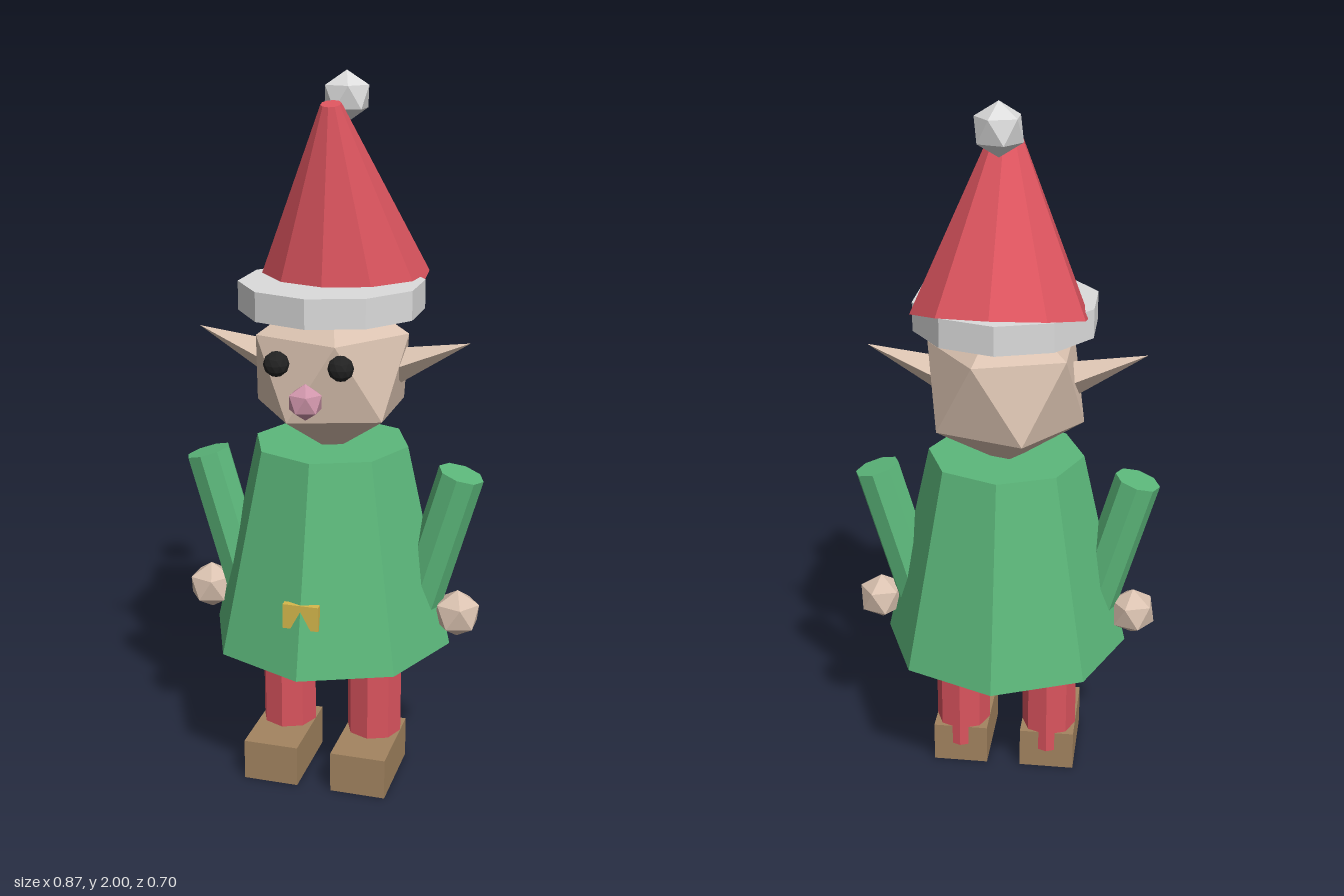
import * as THREE from 'three';

const mat = (name, color) => {
  const m = new THREE.MeshStandardMaterial({ color });
  m.name = name;
  return m;
};

// Faceted copy, so every face has its own flat normal
function faceted(geometry) {
  const g = geometry.index ? geometry.toNonIndexed() : geometry;
  g.computeVertexNormals();
  return g;
}

// Icosahedron standing on one of its corners, with an upper-ring corner towards +x
function ball(radius, detail = 0) {
  const g = new THREE.IcosahedronGeometry(radius, detail);
  const t = (1 + Math.sqrt(5)) / 2;
  g.rotateX(Math.atan2(-t, 1));
  g.rotateY(Math.PI / 2);
  const p = g.attributes.position;
  let sum = 0;
  // Turn the ball over if its lower ring points to +x
  for (let i = 0; i < p.count; i++) {
    if (p.getX(i) > radius * 0.88) sum += p.getY(i);
  }
  if (sum < 0) g.rotateX(Math.PI);
  return faceted(g);
}

const cylinder = (top, bottom, height, sides) =>
  faceted(new THREE.CylinderGeometry(top, bottom, height, sides));

export function createModel() {
  const model = new THREE.Group();
  model.name = 'elf';

  const green = mat('tunic green', 0x5cb87b);
  const red = mat('hat red', 0xdb545e);
  const skin = mat('skin', 0xdac2b0);
  const white = mat('fur white', 0xdcdcdc);
  const brown = mat('shoe brown', 0xa38460);
  const pink = mat('nose pink', 0xcf95aa);
  const black = mat('eye black', 0x222222);
  const gold = mat('buckle gold', 0xd6b84c);

  const add = (name, geometry, material, x, y, z) => {
    const mesh = new THREE.Mesh(geometry, material);
    mesh.name = name;
    mesh.position.set(x, y, z);
    model.add(mesh);
    return mesh;
  };

  // Tunic, with the buckle half sunk into its front edge
  add('tunic', cylinder(0.22, 0.35, 0.58, 8), green, 0, 0.71, 0);
  add('buckle', new THREE.BoxGeometry(0.1, 0.07, 0.02), gold, 0, 0.59, 0.298);

  // Head and nose
  add('head', ball(0.243), skin, 0, 1.212, 0);
  add('nose', ball(0.05), pink, 0, 1.18, 0.25);

  // Paired parts
  for (const [side, s] of [['left', 1], ['right', -1]]) {
    add(side + 'Leg', cylinder(0.08, 0.08, 0.4, 8), red, s * 0.13, 0.26, 0);
    add(side + 'Shoe', new THREE.BoxGeometry(0.16, 0.12, 0.26), brown, s * 0.13, 0.06, 0.06);

    const arm = add(side + 'Arm', cylinder(0.065, 0.065, 0.5, 8), green, s * 0.302, 0.695, 0);
    arm.rotation.z = -s * 0.28;
    add(side + 'Hand', ball(0.07), skin, s * 0.37, 0.517, 0);

    add(side + 'Eye', ball(0.035, 1), black, s * 0.088, 1.27, 0.222);

    // Four-sided pointed ear, leaning slightly upwards
    const ear = add(side + 'Ear', faceted(new THREE.ConeGeometry(0.05, 0.22, 4)), skin,
      s * 0.283, 1.267, 0);
    ear.rotation.z = -s * (Math.PI / 2 - 0.35);
  }

  // Hat: fur brim, tilted cone and floating pompom
  add('hatBrim', cylinder(0.255, 0.255, 0.08, 10), white, 0, 1.415, 0);
  const cone = add('hatCone', cylinder(0.028, 0.24, 0.5, 10), red, 0, 1.681, -0.056);
  cone.rotation.x = 0.26;
  add('pompom', ball(0.07), white, 0, 1.93, -0.146);

  return model;
}
